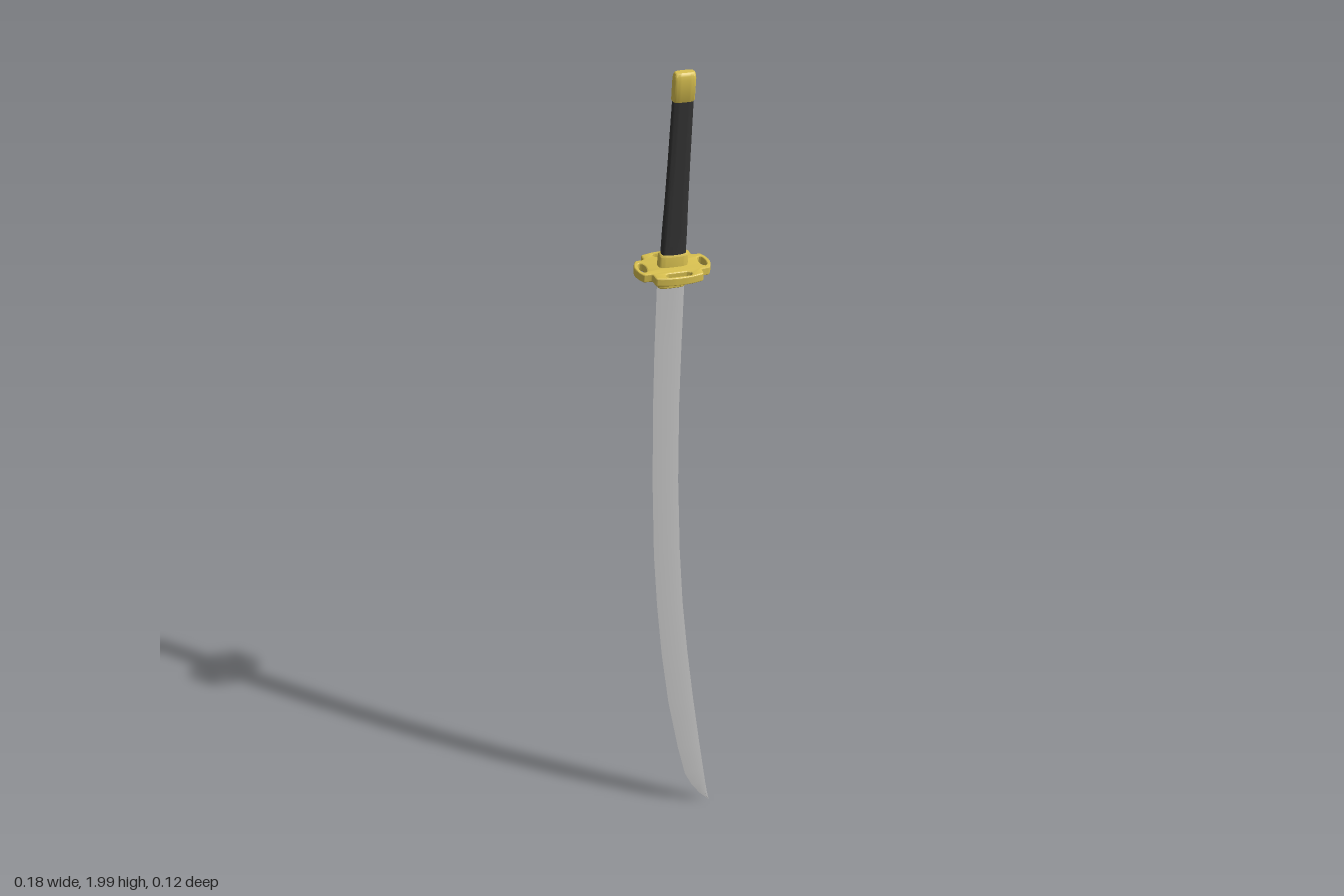
import * as THREE from 'three';
import { toCreasedNormals } from 'three/addons/utils/BufferGeometryUtils.js';

const material = (color) => new THREE.MeshStandardMaterial({ color });

// Skins a stack of rings (arrays of Vector3, counter-clockwise seen from above, rising in y) and caps both ends.
function loft(rings, crease) {
  const n = rings[0].length;
  const points = rings.flat();
  const index = [];
  for (let r = 0; r < rings.length - 1; r++) {
    for (let i = 0; i < n; i++) {
      const a = r * n + i, b = r * n + (i + 1) % n;
      index.push(a, b, b + n, a, b + n, a + n);
    }
  }
  const top = (rings.length - 1) * n;
  for (let i = 1; i < n - 1; i++) index.push(0, i + 1, i, top, top + i, top + i + 1);
  const geometry = new THREE.BufferGeometry().setFromPoints(points);
  geometry.setIndex(index);
  return toCreasedNormals(geometry, crease);
}

// Rounded grip cross-section: superellipse of half sizes hx, hz
function ovalRing(y, hx, hz, sides = 32) {
  return Array.from({ length: sides }, (_, i) => {
    const a = (-i / sides) * Math.PI * 2;
    const c = Math.cos(a), s = Math.sin(a);
    const bulge = (v) => Math.sign(v) * Math.abs(v) ** 0.6;
    return new THREE.Vector3(hx * bulge(c), y, hz * bulge(s));
  });
}

const oval = (sections) => loft(sections.map((s) => ovalRing(...s)), 0.6);

function bladeGeometry() {
  // y, cutting edge x, spine x, half thickness
  const profile = [
    [0.008, 0.085, 0.086, 0.0004], [0.035, 0.062, 0.081, 0.0015], [0.07, 0.041, 0.076, 0.0025],
    [0.11, 0.024, 0.071, 0.0035], [0.2, 0.006, 0.06, 0.004], [0.35, -0.018, 0.043, 0.004],
    [0.5, -0.034, 0.028, 0.004], [0.65, -0.045, 0.016, 0.004], [0.8, -0.052, 0.009, 0.004],
    [1.0, -0.054, 0.005, 0.004], [1.2, -0.052, 0.007, 0.004], [1.35, -0.048, 0.012, 0.004],
    [1.53, -0.041, 0.019, 0.004],
  ];
  const rings = profile.map(([y, edge, spine, t]) => {
    const ridge = THREE.MathUtils.lerp(edge, spine, 0.62);
    return [[edge, 0], [ridge, t], [spine, t * 0.75], [spine, -t * 0.75], [ridge, -t]]
      .map(([x, z]) => new THREE.Vector3(x, y, z));
  });
  return loft(rings, 0.35);
}

function guardGeometry() {
  // Four-lobed plate
  const shape = new THREE.Shape();
  shape.moveTo(0.053, 0.036);
  shape.lineTo(0.053, 0.047);
  shape.quadraticCurveTo(0.053, 0.052, 0.047, 0.053);
  shape.quadraticCurveTo(0, 0.066, -0.047, 0.053);
  shape.quadraticCurveTo(-0.053, 0.052, -0.053, 0.047);
  shape.lineTo(-0.053, 0.036);
  shape.quadraticCurveTo(-0.054, 0.031, -0.059, 0.031);
  shape.lineTo(-0.069, 0.031);
  shape.quadraticCurveTo(-0.074, 0.03, -0.076, 0.024);
  shape.quadraticCurveTo(-0.09, 0, -0.076, -0.024);
  shape.quadraticCurveTo(-0.074, -0.03, -0.069, -0.031);
  shape.lineTo(-0.059, -0.031);
  shape.quadraticCurveTo(-0.054, -0.031, -0.053, -0.036);
  shape.lineTo(-0.053, -0.047);
  shape.quadraticCurveTo(-0.053, -0.052, -0.047, -0.053);
  shape.quadraticCurveTo(0, -0.066, 0.047, -0.053);
  shape.quadraticCurveTo(0.053, -0.052, 0.053, -0.047);
  shape.lineTo(0.053, -0.036);
  shape.quadraticCurveTo(0.054, -0.031, 0.059, -0.031);
  shape.lineTo(0.069, -0.031);
  shape.quadraticCurveTo(0.074, -0.03, 0.076, -0.024);
  shape.quadraticCurveTo(0.09, 0, 0.076, 0.024);
  shape.quadraticCurveTo(0.074, 0.03, 0.069, 0.031);
  shape.lineTo(0.059, 0.031);
  shape.quadraticCurveTo(0.054, 0.031, 0.053, 0.036);

  // One slot through each lobe
  for (const s of [-1, 1]) {
    const longSlot = new THREE.Path();
    longSlot.absellipse(-0.019, s * 0.0445, 0.009, 0.008, Math.PI / 2, Math.PI * 1.5);
    longSlot.absellipse(0.019, s * 0.0445, 0.009, 0.008, -Math.PI / 2, Math.PI / 2);
    longSlot.closePath();
    const sideSlot = new THREE.Path();
    sideSlot.absellipse(s * 0.066, 0, 0.008, 0.019, 0, Math.PI * 2);
    shape.holes.push(longSlot, sideSlot);
  }
  const bevel = 0.003;
  const geometry = new THREE.ExtrudeGeometry(shape, {
    depth: 0.013, bevelThickness: bevel, bevelSize: bevel, bevelOffset: -bevel,
    bevelSegments: 3, curveSegments: 10,
  });
  geometry.translate(0, 0, -0.0065).rotateX(Math.PI / 2);
  return toCreasedNormals(geometry, 0.7);
}

export function createModel() {
  const model = new THREE.Group();
  const steel = material(0xcccccc);
  const gold = material(0xd8c050);
  const dark = material(0x333333);

  const add = (parent, name, geometry, mat) => {
    const mesh = new THREE.Mesh(geometry, mat);
    mesh.name = name;
    parent.add(mesh);
  };

  add(model, 'blade', bladeGeometry(), steel);

  // Hilt leans with the curve of the blade
  const hilt = new THREE.Group();
  hilt.name = 'hilt';
  hilt.position.set(-0.008, 1.548, 0);
  hilt.rotation.z = -0.06;
  model.add(hilt);

  add(hilt, 'guard', guardGeometry(), gold);
  add(hilt, 'bladeCollar', oval([
    [-0.044, 0.028, 0.009], [-0.042, 0.03, 0.011], [-0.016, 0.031, 0.012], [0, 0.031, 0.012],
  ]), gold);
  add(hilt, 'gripCollar', oval([
    [0, 0.033, 0.014], [0.033, 0.032, 0.014], [0.036, 0.031, 0.0135], [0.038, 0.029, 0.012],
  ]), gold);
  add(hilt, 'grip', oval([
    [0.03, 0.027, 0.0125], [0.09, 0.0265, 0.0115], [0.15, 0.025, 0.01],
    [0.25, 0.0235, 0.0095], [0.395, 0.022, 0.0095],
  ]), dark);
  add(hilt, 'pommel', oval([
    [0.387, 0.0225, 0.011], [0.389, 0.024, 0.012], [0.435, 0.024, 0.012],
    [0.443, 0.0232, 0.0112], [0.448, 0.0215, 0.0095], [0.45, 0.019, 0.007],
  ]), gold);

  return model;
}
